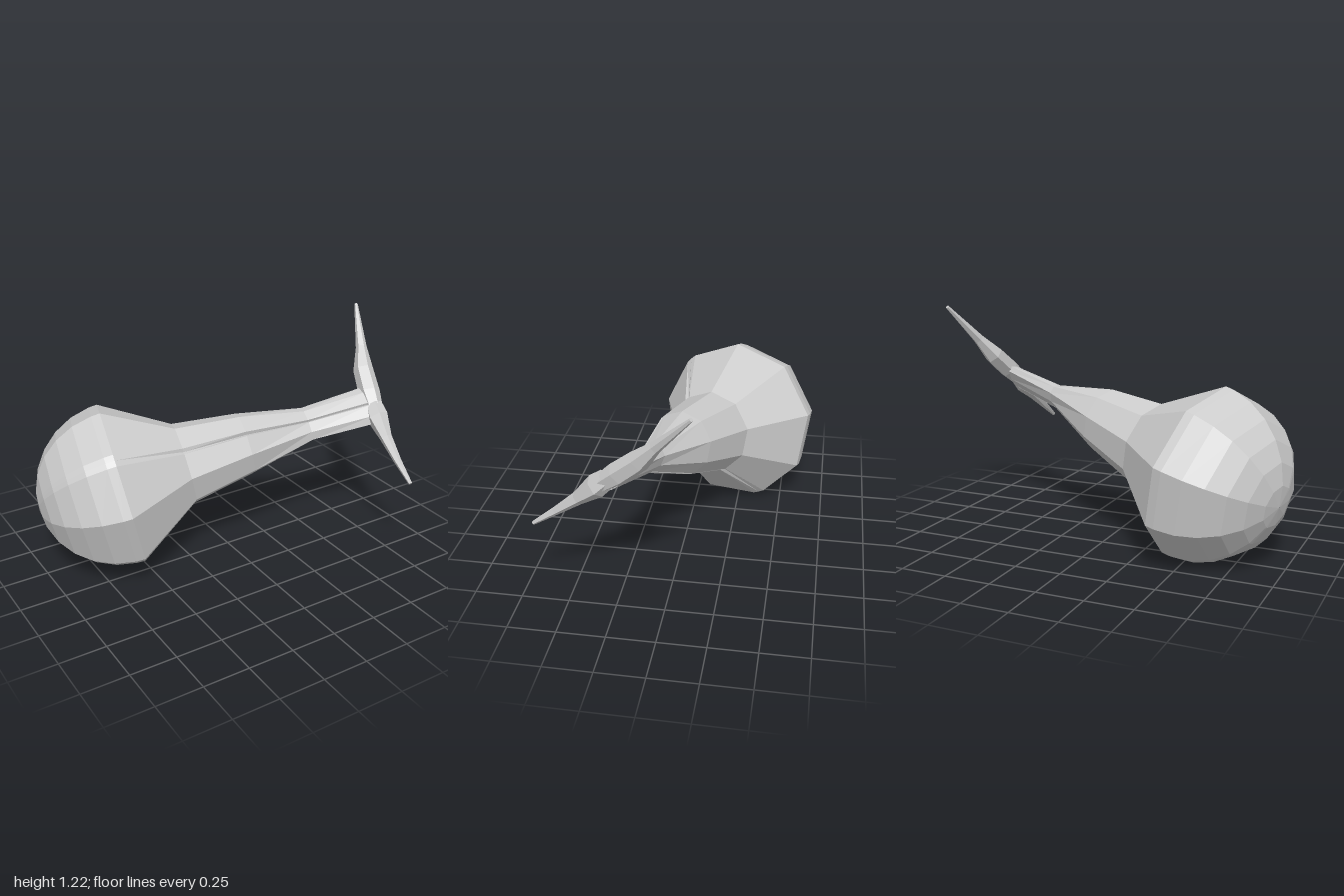
import * as THREE from 'three';

const V = (x, y, z) => new THREE.Vector3(x, y, z);
const material = new THREE.MeshStandardMaterial({ color: 0xcccccc, flatShading: true });

// Skin elliptical rings { c, a, b, dent } that lie across one axis.
// a is the radius along 'long', b the radius across it; section lists [angle in degrees, isDent].
function loft(name, rings, axis, long, section) {
  const d = axis.clone().normalize();
  const w = long.clone().addScaledVector(d, -long.dot(d)).normalize();
  const up = V(0, 1, 0).addScaledVector(d, -d.y).normalize();
  const side = d.clone().cross(up);
  const n = d.clone().cross(w);
  const pos = [], index = [], count = section.length;
  for (const { c, a, b = a, dent = 0 } of rings) {
    for (const [deg, isDent] of section) {
      const t = THREE.MathUtils.degToRad(deg), k = isDent ? 1 - dent : 1;
      const p = up.clone().multiplyScalar(Math.cos(t) * k).addScaledVector(side, Math.sin(t) * k);
      const q = c.clone().addScaledVector(w, a * p.dot(w)).addScaledVector(n, b * p.dot(n));
      pos.push(q.x, q.y, q.z);
    }
  }
  for (let i = 0; i < rings.length - 1; i++) {
    for (let j = 0; j < count; j++) {
      const p = i * count + j, q = i * count + (j + 1) % count;
      index.push(p, q, p + count, q, q + count, p + count);
    }
  }
  const g = new THREE.BufferGeometry();
  g.setAttribute('position', new THREE.Float32BufferAttribute(pos, 3));
  g.setIndex(index);
  g.computeVertexNormals();
  const mesh = new THREE.Mesh(g, material);
  mesh.name = name;
  return mesh;
}

export function createModel() {
  const model = new THREE.Group();
  model.name = 'bulbWithForkedTail';

  // Nine-sided section, with a narrow groove beside two of its corners
  const section = [];
  for (let i = 0; i < 9; i++) {
    const deg = 5 + i * 40;
    if (i === 1 || i === 5) section.push([deg - 3, false], [deg + 1, true], [deg + 5, false]);
    else section.push([deg, false]);
  }

  const axis = V(0.93, 0.214, 0.293).normalize();
  const tailLine = V(0.15, 0.68, -0.735);
  const bulb = V(-0.55, 0.45, -0.21);
  const R = 0.46;

  // Rounded back of the bulb, from the pole to the rim
  const rings = [];
  for (const lat of [89.8, 76, 62, 48, 34, 20, 6, 0]) {
    const t = THREE.MathUtils.degToRad(lat);
    rings.push({ c: bulb.clone().addScaledVector(axis, -R * Math.sin(t)), a: R * Math.cos(t) });
  }
  // Shoulder and neck, flattening toward the tail
  rings.push(
    { c: V(-0.22, 0.535, -0.1), a: 0.23, dent: 0.06 },
    { c: V(0.1, 0.622, 0.015), a: 0.175, dent: 0.1 },
    { c: V(0.44, 0.7, 0.125), a: 0.1, b: 0.06, dent: 0.2 },
    { c: V(0.77, 0.775, 0.235), a: 0.115, b: 0.045, dent: 0.25 },
    { c: V(0.79, 0.775, 0.24), a: 0.001 }
  );
  model.add(loft('bulbAndNeck', rings, axis, tailLine, section));

  // Two tapering tail prongs
  const hexagon = [0, 60, 120, 180, 240, 300].map((deg) => [deg + 15, false]);
  const prong = (name, points) => {
    const path = points.map(([x, y, z, a]) => ({ c: V(x, y, z), a }));
    const first = path[0].c, last = path[path.length - 1].c;
    const dir = last.clone().sub(first);
    path.unshift({ c: first.clone(), a: 0.001 });
    path.push({ c: last.clone(), a: 0.001 });
    model.add(loft(name, path, dir, V(1, 0, 0), hexagon));
  };
  prong('upperProng', [
    [0.785, 0.745, 0.3, 0.045], [0.815, 0.835, 0.195, 0.06], [0.85, 0.93, 0.09, 0.056],
    [0.897, 1.03, 0.005, 0.031], [0.985, 1.225, -0.17, 0.01]
  ]);
  prong('lowerProng', [
    [0.795, 0.785, 0.26, 0.05], [0.785, 0.735, 0.315, 0.06], [0.772, 0.65, 0.412, 0.034],
    [0.762, 0.56, 0.53, 0.021], [0.757, 0.475, 0.65, 0.01]
  ]);

  return model;
}
